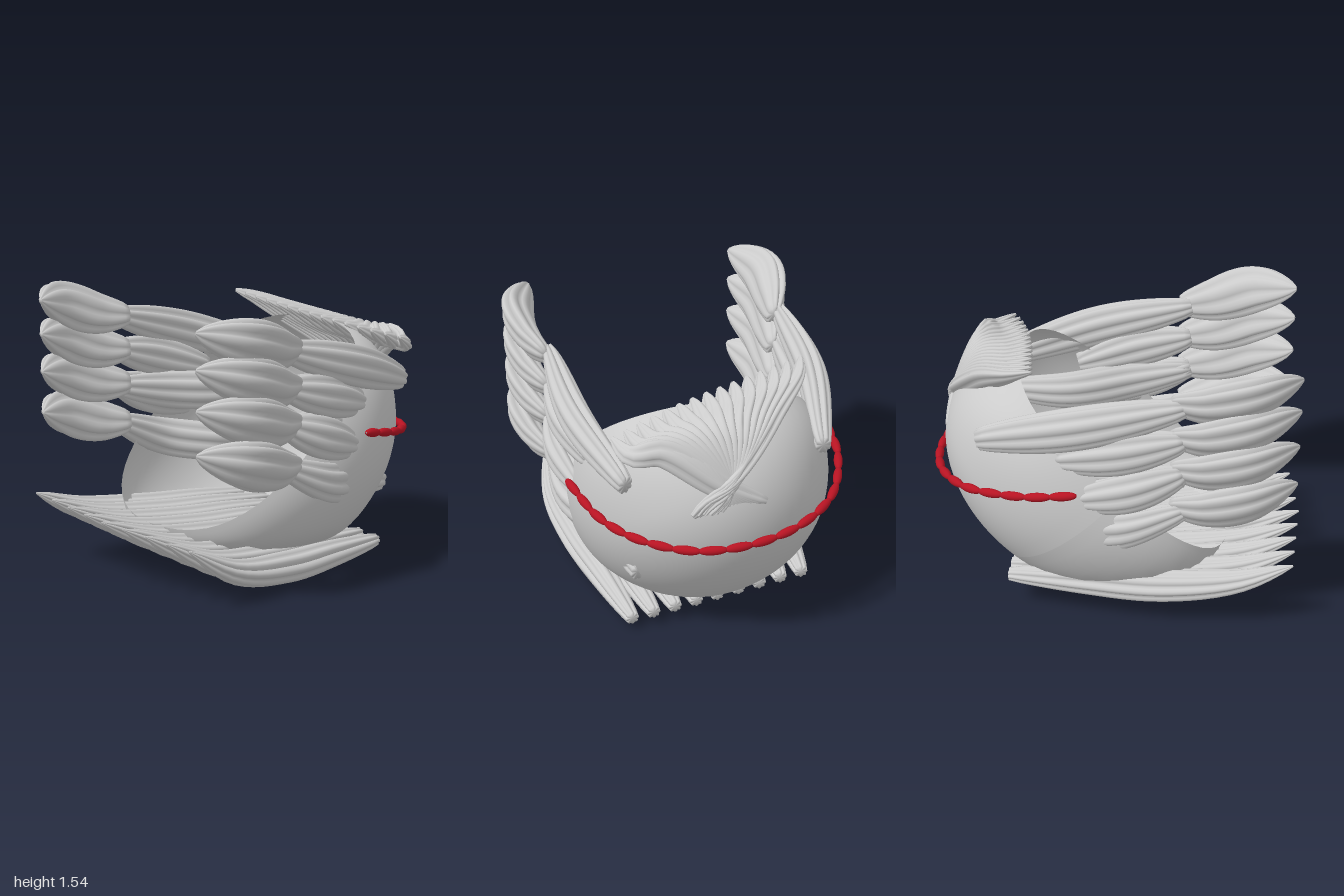
import * as THREE from 'three';

const grey = new THREE.MeshStandardMaterial({ color: 0xcccccc });
const greyThin = new THREE.MeshStandardMaterial({ color: 0xcccccc, side: THREE.DoubleSide });
const red = new THREE.MeshStandardMaterial({ color: 0xb81423 });
const { lerp, smoothstep, clamp } = THREE.MathUtils;
const CX = -0.035;

// Points as vectors, with the slight sideways lean shared by all hair
const pts = (list) => list.map(([x, y, z]) => new THREE.Vector3(x, y - 0.05 * x, z));

// Ribbed lock: a scalloped cross-section swept along a curve.
// o: w, h half sizes, across = width direction, start/end = end scales, lobes
function lock(name, points, o) {
  const curve = new THREE.CatmullRomCurve3(pts(points));
  const rings = 22, seg = o.lobes * 6;
  const pos = [], idx = [];
  const across = new THREE.Vector3(...o.across);
  for (let i = -1; i <= rings + 1; i++) {
    const t = clamp(i / rings, 0, 1);
    const c = curve.getPointAt(t), tan = curve.getTangentAt(t);
    const side = across.clone().addScaledVector(tan, -across.dot(tan)).normalize();
    const nor = tan.clone().cross(side);
    let s = lerp(o.start, o.end, t);
    s += (1 - s) * Math.pow(Math.sin(Math.PI * t), 0.75);
    if (i < 0 || i > rings) s = 0; // closed ends
    for (let j = 0; j <= seg; j++) {
      const a = (j / seg) * Math.PI * 2;
      const r = s * (0.8 + 0.22 * Math.abs(Math.sin((a * o.lobes) / 2)));
      const p = c.clone()
        .addScaledVector(side, Math.cos(a) * r * o.w)
        .addScaledVector(nor, Math.sin(a) * r * o.h);
      pos.push(p.x, p.y, p.z);
    }
  }
  const n = seg + 1;
  for (let i = 0; i < rings + 2; i++) {
    for (let j = 0; j < seg; j++) {
      const a = i * n + j;
      idx.push(a, a + 1, a + n, a + 1, a + n + 1, a + n);
    }
  }
  const g = new THREE.BufferGeometry();
  g.setAttribute('position', new THREE.Float32BufferAttribute(pos, 3));
  g.setIndex(idx);
  g.computeVertexNormals();
  const m = new THREE.Mesh(g, grey);
  m.name = name;
  return m;
}

// Tilted ellipsoid shell, open towards the upper front
function makeCap() {
  const g = new THREE.SphereGeometry(1, 64, 40, 0, Math.PI * 2, 1.137, Math.PI - 1.137);
  const p = g.attributes.position;
  // squarer outline near the rim
  for (let i = 0; i < p.count; i++) {
    const x = p.getX(i), z = p.getZ(i);
    const f = 1 + 0.07 * smoothstep(p.getY(i), -0.4, 0.42) * Math.sin(2 * Math.atan2(z, x)) ** 2;
    p.setX(i, x * f);
    p.setZ(i, z * f);
  }
  g.rotateX(0.181).scale(0.7, 0.63, 0.85).rotateX(0.6).translate(-0.05, 0.6, -0.165);
  // flatter underside
  for (let i = 0; i < p.count; i++) {
    const y = p.getY(i);
    const lift = 0.115 * smoothstep(p.getZ(i), -0.6, 0) * (1 - smoothstep(y, -0.12, 0.27));
    p.setY(i, y + lift);
  }
  g.computeVertexNormals();
  const m = new THREE.Mesh(g, greyThin);
  m.name = 'scalpCap';
  return m;
}

// Row of long locks: rooted at the back, lying in the cap, sweeping out in front
function makeLowerLocks() {
  const group = new THREE.Group();
  group.name = 'lowerLocks';
  for (let i = 0; i < 9; i++) {
    const x = -0.66 + i * 0.153;
    const root = CX + 0.78 * (x - CX);
    const edge = Math.abs(i - 4) / 4;
    const lean = -0.05 * x;
    group.add(lock('lowerLock', [
      [root, 0.115 + lean, -0.57], [lerp(root, x, 0.35), 0.125 + lean, -0.15],
      [lerp(root, x, 0.7), 0.14 + lean, 0.25], [x, 0.21 + lean, 0.66],
      [x - 0.02, 0.345 + lean / 2, 0.99 - 0.05 * edge],
    ], { w: 0.092, h: 0.088, across: [1, 0.35, 0], start: 0.4, end: 0.06, lobes: 8 }));
  }
  return group;
}

// Side locks: strands to a gathered knot, then full tips
function makeSideLocks(s) {
  const group = new THREE.Group();
  group.name = s > 0 ? 'leftSideLocks' : 'rightSideLocks';
  // strand points from root to middle, and knot height; the last two run through the cap
  const strands = [
    [[[0.53, 1.0, -0.7], [0.65, 1.14, -0.2]], 1.28],
    [[[0.6, 0.93, -0.28], [0.66, 1.01, 0.03]], 1.09],
    [[[0.64, 0.72, -0.18], [0.68, 0.8, 0.08]], 0.9],
    [[[0.46, 0.82, -0.66], [0.48, 0.81, -0.32], [0.6, 0.83, 0.02]], 0.88],
    [[[0.45, 0.42, -0.63], [0.49, 0.49, -0.32], [0.65, 0.55, 0.02]], 0.68],
  ];
  const put = (cx) => ([x, y, z]) => [cx + s * x, y, z];
  strands.forEach(([strand, ky]) => {
    group.add(lock('sideStrand', [...strand, [0.66, ky, 0.36]].map(put(CX)),
      { w: 0.115, h: 0.08, across: [0, 1, 0], start: 0.5, end: 0.4, lobes: 8 }));
  });
  // knot and end heights of the tips
  [[1.28, 1.42], [1.09, 1.24], [0.9, 1.04], [0.68, 0.82]].forEach(([ky, ty]) => {
    group.add(lock('sideTip', [
      [0.65, ky, 0.3], [0.7, ky + 0.02, 0.48], [0.715, lerp(ky, ty, 0.6), 0.7], [0.6, ty, 0.94],
    ].map(put(0)), { w: 0.14, h: 0.08, across: [s * 0.5, 1, 0], start: 0.4, end: 0.1, lobes: 7 }));
  });
  return group;
}

// Fan of locks crossing at the back and spreading over the top
function makeCrest() {
  const group = new THREE.Group();
  group.name = 'crest';
  const count = 15;
  for (let i = 0; i < count; i++) {
    const t = i / (count - 1);
    const x = lerp(-0.53, 0.54, t);
    const y = lerp(1.38, 1.24, t);
    const z = -0.42 - 0.11 * t - 0.1 * t ** 4;
    group.add(lock('crestLock', [
      [0.02 - 0.36 * x, 0.88, -0.92], [0.03, 0.99, -0.89],
      [0.03 + 0.55 * x, lerp(1.21, 1.2, t), lerp(-0.71, -0.79, t)],
      [x * 0.88, y - 0.05, z - 0.12], [x, y, z],
    ], { w: 0.085, h: 0.052, across: [0.8, -0.8, 0], start: 0.3, end: 0.15, lobes: 6 }));
  }
  return group;
}

// Red braided band around the back, one spindle per twist
function makeBand() {
  const group = new THREE.Group();
  group.name = 'braidedBand';
  const curve = new THREE.CatmullRomCurve3([
    [-0.795, 0.85, -0.18], [-0.755, 0.81, -0.45], [-0.6, 0.76, -0.76], [-0.36, 0.72, -0.93],
    [-0.08, 0.69, -0.985], [0.21, 0.68, -0.94], [0.45, 0.69, -0.77], [0.59, 0.71, -0.55],
    [0.68, 0.76, -0.21],
  ].map((p) => new THREE.Vector3(...p)));
  const count = 18, half = (curve.getLength() / count) * 0.54;
  const profile = [];
  for (let k = 0; k <= 12; k++) {
    const a = (k / 12) * Math.PI;
    profile.push(new THREE.Vector2(0.004 + 0.02 * Math.sin(a), -half * Math.cos(a)));
  }
  const bead = new THREE.LatheGeometry(profile, 14);
  for (let i = 0; i < count; i++) {
    const t = (i + 0.5) / count;
    const m = new THREE.Mesh(bead, red);
    m.name = 'braidTwist';
    m.position.copy(curve.getPointAt(t));
    m.quaternion.setFromUnitVectors(new THREE.Vector3(0, 1, 0), curve.getTangentAt(t));
    group.add(m);
  }
  return group;
}

export function createModel() {
  const model = new THREE.Group();
  model.name = 'hair';
  model.add(makeCap(), makeLowerLocks(), makeSideLocks(1), makeSideLocks(-1), makeCrest(), makeBand());
  return model;
}
